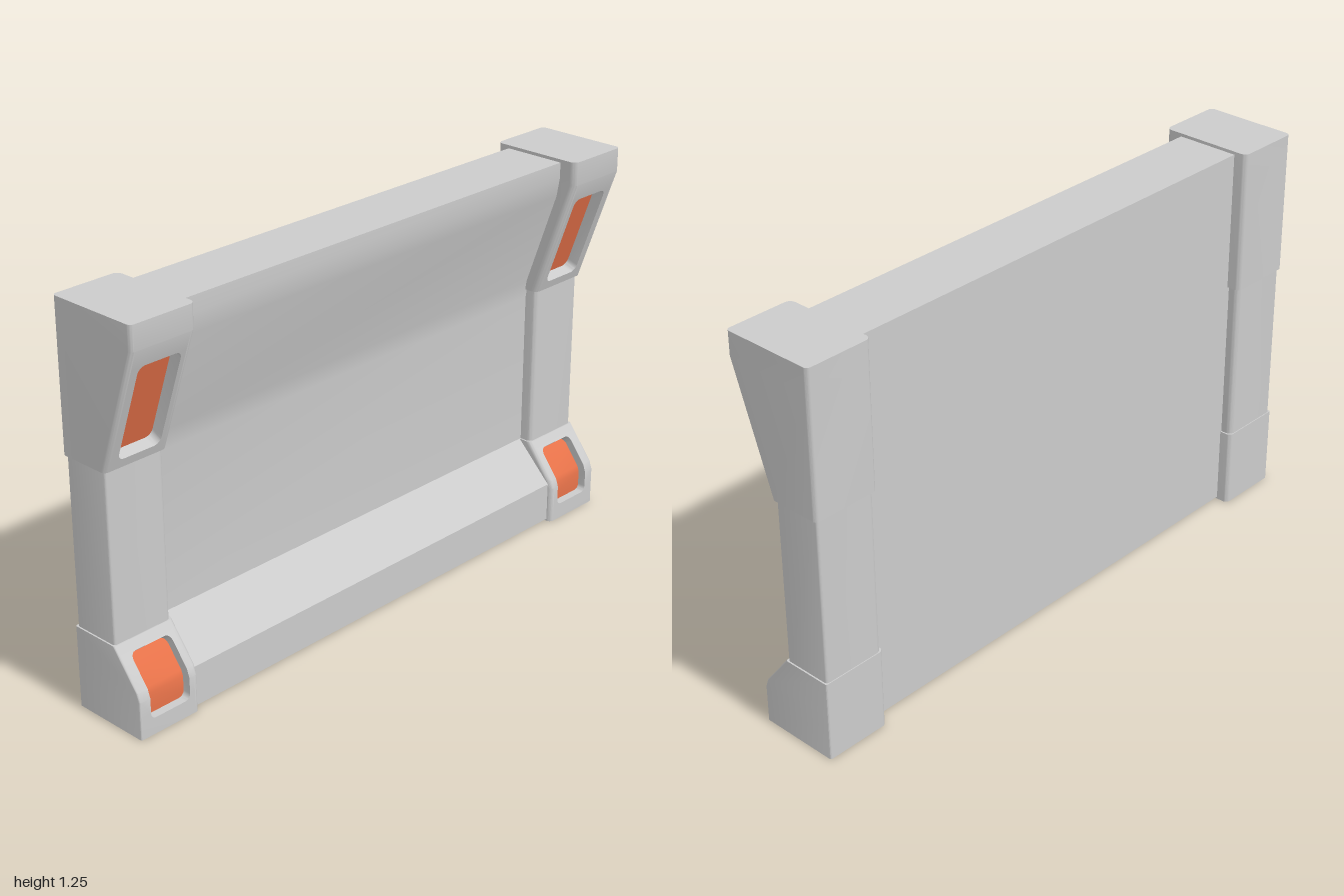
import * as THREE from 'three';
import { toCreasedNormals } from 'three/addons/utils/BufferGeometryUtils.js';

const grey = new THREE.MeshStandardMaterial({ color: 0xcccccc });
const orange = new THREE.MeshStandardMaterial({ color: 0xe8734a });

// Collects quads and triangles; side = -1 mirrors them across x
function surface(side) {
  const pos = [];
  const tri = (...pts) => {
    if (side < 0) pts.reverse();
    for (const p of pts) pos.push(p[0] * side, p[1], p[2]);
  };
  const quad = (a, b, c, d) => { tri(a, b, c); tri(a, c, d); };
  const mesh = (name, material) => {
    const g = new THREE.BufferGeometry();
    g.setAttribute('position', new THREE.Float32BufferAttribute(pos, 3));
    const m = new THREE.Mesh(toCreasedNormals(g, 0.4), material);
    m.name = name;
    return m;
  };
  return { tri, quad, mesh };
}

// Cross-section with rounded corners, open along its flat front
function ring({ x0, x1, back, rIn, rOut }, [y, front]) {
  const pts = [];
  const corner = (cx, cz, r, start) => {
    for (let k = 0; k <= 6; k++) {
      const a = start + (k / 6) * Math.PI / 2;
      pts.push([cx + r * Math.sin(a), y, cz + r * Math.cos(a)]);
    }
  };
  corner(x1 - rOut, front - rOut, rOut, 0);
  corner(x1 - rOut, back + rOut, rOut, Math.PI / 2);
  corner(x0 + rIn, back + rIn, rIn, Math.PI);
  corner(x0 + rIn, front - rIn, rIn, Math.PI * 1.5);
  return pts;
}

// Rows of a rounded opening: height and half width
function openingRows({ y0, y1, half, r }) {
  const rows = [];
  for (let k = 0; k <= 5; k++) {
    const a = (k / 5) * Math.PI / 2;
    const u = half - r + r * Math.sin(a), dy = r - r * Math.cos(a);
    rows.push({ y: y0 + dy, u }, { y: y1 - dy, u });
  }
  return rows;
}

// Upright block with a front profile of [y, z] levels and an optional pocket holding a lens
function block(name, side, spec) {
  const { x0, x1, rIn, rOut, levels, pocket } = spec;
  const group = new THREE.Group();
  group.name = name;
  const body = surface(side), lens = surface(side);

  // sides, back and both ends
  const rings = levels.map(l => ring(spec, l));
  for (let j = 0; j + 1 < rings.length; j++)
    for (let i = 0; i + 1 < rings[j].length; i++)
      body.quad(rings[j][i], rings[j][i + 1], rings[j + 1][i + 1], rings[j + 1][i]);
  const close = (pts, up) => {
    const c = [(x0 + x1) / 2, pts[0][1], (spec.back + pts[0][2]) / 2];
    pts.forEach((p, i) => {
      const q = pts[(i + 1) % pts.length];
      if (up) body.tri(c, p, q); else body.tri(c, q, p);
    });
  };
  close(rings[0], false);
  close(rings[rings.length - 1], true);

  // point on the front, sunk by depth d along the inward normal (mitred at folds)
  const at = (x, y, d = 0) => {
    let ny = 0, nz = 0, n = 0, z = 0;
    for (let j = 0; j + 1 < levels.length; j++) {
      const [ya, za] = levels[j], [yb, zb] = levels[j + 1];
      if (y < ya || y > yb) continue;
      const len = Math.hypot(yb - ya, zb - za);
      ny += (zb - za) / len;
      nz -= (yb - ya) / len;
      z = za + (zb - za) * (y - ya) / (yb - ya);
      n++;
    }
    const k = d * n / (ny * ny + nz * nz);
    return [x, y + ny * k, z + nz * k];
  };

  // front face, pocket walls and lens, row by row
  const xa = x0 + rIn, xb = x1 - rOut;
  const rows = pocket ? openingRows(pocket) : [];
  for (const [y] of levels) {
    const inside = pocket && y > pocket.y0 && y < pocket.y1;
    rows.push({ y, u: inside ? pocket.half : 0 });
  }
  rows.sort((a, b) => a.y - b.y);
  for (let i = 0; i + 1 < rows.length; i++) {
    const a = rows[i], b = rows[i + 1];
    if (!a.u || !b.u) {
      body.quad(at(xa, a.y), at(xb, a.y), at(xb, b.y), at(xa, b.y));
      continue;
    }
    const { x, depth } = pocket;
    const p = (row, s, d) => at(x + s * row.u, row.y, d);
    body.quad(at(xa, a.y), p(a, -1), p(b, -1), at(xa, b.y));
    body.quad(p(a, 1), at(xb, a.y), at(xb, b.y), p(b, 1));
    body.quad(p(a, 1, depth), p(a, 1), p(b, 1), p(b, 1, depth));
    body.quad(p(a, -1), p(a, -1, depth), p(b, -1, depth), p(b, -1));
    if (!rows[i - 1].u) body.quad(p(a, -1, depth), p(a, -1), p(a, 1), p(a, 1, depth));
    if (!rows[i + 2].u) body.quad(p(b, -1), p(b, -1, depth), p(b, 1, depth), p(b, 1));
    lens.quad(p(a, -1, depth), p(a, 1, depth), p(b, 1, depth), p(b, -1, depth));
  }
  group.add(body.mesh(name + 'Body', grey));
  if (pocket) group.add(lens.mesh(name + 'Lens', orange));
  return group;
}

// Wall between the posts: flat back, front leaning out at the top, sloping ledge at the foot
function wallPanel() {
  const half = 0.8;
  const profile = [
    [-0.11, 0.007], [0.097, 0.007], [0.097, 0.135], [-0.028, 0.26],
    [-0.028, 0.76], [-0.02, 0.82], [0.087, 1.13], [0.097, 1.19], [0.097, 1.24], [-0.11, 1.24],
  ];
  const s = new THREE.Shape(profile.map(([z, y]) => new THREE.Vector2(z, y)));
  const g = new THREE.ExtrudeGeometry(s, { depth: half * 2, bevelEnabled: false });
  g.rotateY(-Math.PI / 2).translate(half, 0, 0);
  const m = new THREE.Mesh(toCreasedNormals(g, 0.4), grey);
  m.name = 'wallPanel';
  return m;
}

export function createModel() {
  const model = new THREE.Group();
  model.name = 'wallSection';
  model.add(wallPanel());

  for (const [label, side] of [['left', 1], ['right', -1]]) {
    const post = new THREE.Group();
    post.name = label + 'Post';
    post.add(
      block('foot', side, {
        x0: 0.781, x1: 0.997, back: -0.15, rIn: 0.016, rOut: 0.006,
        levels: [[0, 0.113], [0.12, 0.113], [0.147, 0.1036], [0.26, 0.015]],
        pocket: { x: 0.887, y0: 0.052, y1: 0.233, half: 0.072, r: 0.018, depth: 0.027 },
      }),
      block('shaft', side, {
        x0: 0.786, x1: 0.992, back: -0.147, rIn: 0.018, rOut: 0.01,
        levels: [[0.255, 0.012], [0.795, 0.012]],
      }),
      block('head', side, {
        x0: 0.778, x1: 1, back: -0.154, rIn: 0.02, rOut: 0.014,
        levels: [[0.79, 0.02], [1.175, 0.155], [1.25, 0.155]],
        pocket: { x: 0.887, y0: 0.818, y1: 1.118, half: 0.074, r: 0.022, depth: 0.038 },
      }),
    );
    model.add(post);
  }
  return model;
}
